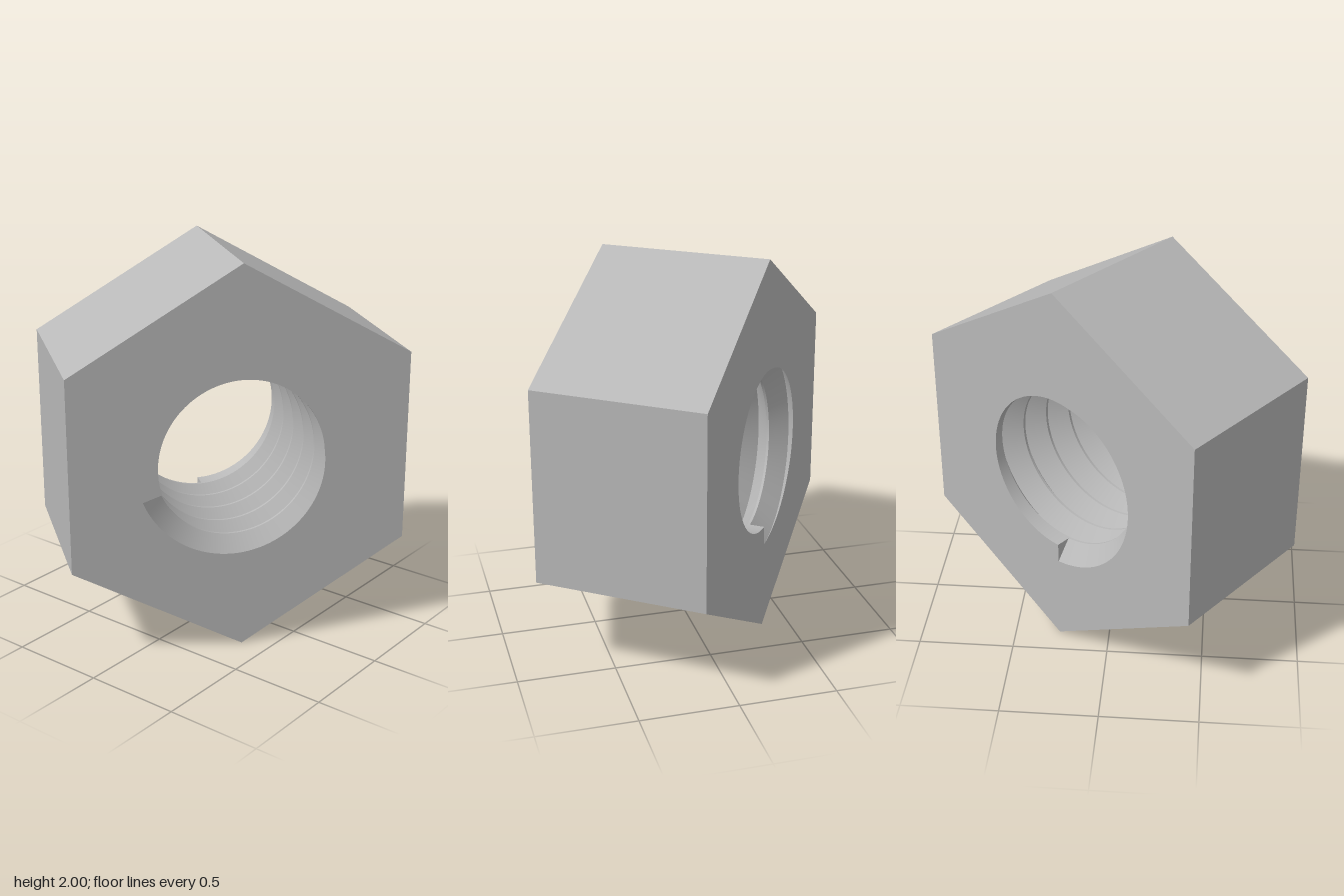
import * as THREE from 'three';
import { toCreasedNormals } from 'three/addons/utils/BufferGeometryUtils.js';

const H = 0.89;                    // nut thickness
const R_MIN = 0.427, R_MAJ = 0.53; // thread crest and root radii
const TURNS = 5.2, PITCH = H / TURNS;
const W = 0.079;                   // half width of the V groove
const START = THREE.MathUtils.degToRad(197.6);
const END_PHASE = TURNS % 1;

// A point of the bore: phase is the fraction of a turn, depth runs back from the front face
function borePoint(phase, r, depth) {
  const a = START + phase * Math.PI * 2;
  return new THREE.Vector3(r * Math.cos(a), r * Math.sin(a), H / 2 - depth);
}

// Bore profile from the front face to the back face at one phase
function column(phase, grooves) {
  const pts = [];
  for (let k = 0; k < grooves; k++) {
    const c = (phase + k) * PITCH;
    for (const d of [c - W, c, c + W]) {
      const depth = THREE.MathUtils.clamp(d, 0, H);
      const r = R_MAJ - (R_MAJ - R_MIN) * Math.min(1, Math.abs(depth - c) / W);
      pts.push([r, depth]);
    }
  }
  const first = pts[0], last = pts[pts.length - 1];
  pts.unshift([first[0], 0]);
  pts.push([last[0], H]);
  return pts.map(([r, d]) => borePoint(phase, r, d));
}

// Columns between two phases that share the same number of grooves
function columns(from, to, grooves, steps) {
  return Array.from({ length: steps + 1 }, (_, i) =>
    column(from + (to - from) * i / steps, grooves));
}

// Flat face with a hexagonal outline and the spiral hole edge
function faceGeometry(edge, side) {
  const hex = [];
  for (let i = 0; i < 6; i++) {
    const a = Math.PI / 2 + i * Math.PI / 3;
    hex.push(new THREE.Vector2(Math.cos(a), Math.sin(a)));
  }
  const shape = new THREE.Shape(hex);
  shape.holes.push(new THREE.Path(edge.map(p => new THREE.Vector2(side * p.x, p.y))));
  const geo = new THREE.ShapeGeometry(shape);
  if (side < 0) geo.rotateY(Math.PI);
  return geo.translate(0, 0, side * H / 2);
}

export function createModel() {
  const metal = new THREE.MeshStandardMaterial({ color: 0xb8b8b8 });
  metal.name = 'grey metal';
  const nut = new THREE.Group();
  nut.name = 'hexNut';
  const add = (name, geo) => {
    const mesh = new THREE.Mesh(geo, metal);
    mesh.name = name;
    nut.add(mesh);
  };

  // Threaded bore: a left-handed V groove with a square run-out at each face
  const full = Math.floor(TURNS);
  const sections = [
    columns(0, END_PHASE, full + 1, 32),
    columns(END_PHASE, 1, full, 128),
  ];
  const verts = [];
  const tri = (a, b, c) => {
    const area = b.clone().sub(a).cross(c.clone().sub(a)).length();
    if (area > 1e-9) for (const p of [a, b, c]) verts.push(p.x, p.y, p.z);
  };
  for (const cols of sections) {
    for (let i = 0; i < cols.length - 1; i++) {
      for (let j = 0; j < cols[i].length - 1; j++) {
        const a = cols[i][j], b = cols[i + 1][j];
        const c = cols[i][j + 1], d = cols[i + 1][j + 1];
        tri(a, b, c);
        tri(b, d, c);
      }
    }
  }
  // Groove end walls
  tri(borePoint(0, R_MIN, 0), borePoint(0, R_MAJ, 0), borePoint(0, R_MIN, W));
  tri(borePoint(END_PHASE, R_MIN, H), borePoint(END_PHASE, R_MAJ, H),
    borePoint(END_PHASE, R_MIN, H - W));
  const bore = new THREE.BufferGeometry();
  bore.setAttribute('position', new THREE.Float32BufferAttribute(verts, 3));
  add('threadedBore', toCreasedNormals(bore, 0.5));

  // Front and back faces
  const all = sections.flat();
  add('frontFace', faceGeometry(all.map(c => c[0]), 1));
  add('backFace', faceGeometry(all.map(c => c[c.length - 1]), -1));

  // Six outer flats
  const flats = new THREE.CylinderGeometry(1, 1, H, 6, 1, true).rotateX(-Math.PI / 2).toNonIndexed();
  flats.computeVertexNormals();
  add('outerFlats', flats);

  nut.rotation.y = Math.atan2(0.803, 0.596);
  nut.position.y = 1;
  const model = new THREE.Group();
  model.name = 'model';
  model.add(nut);
  return model;
}
